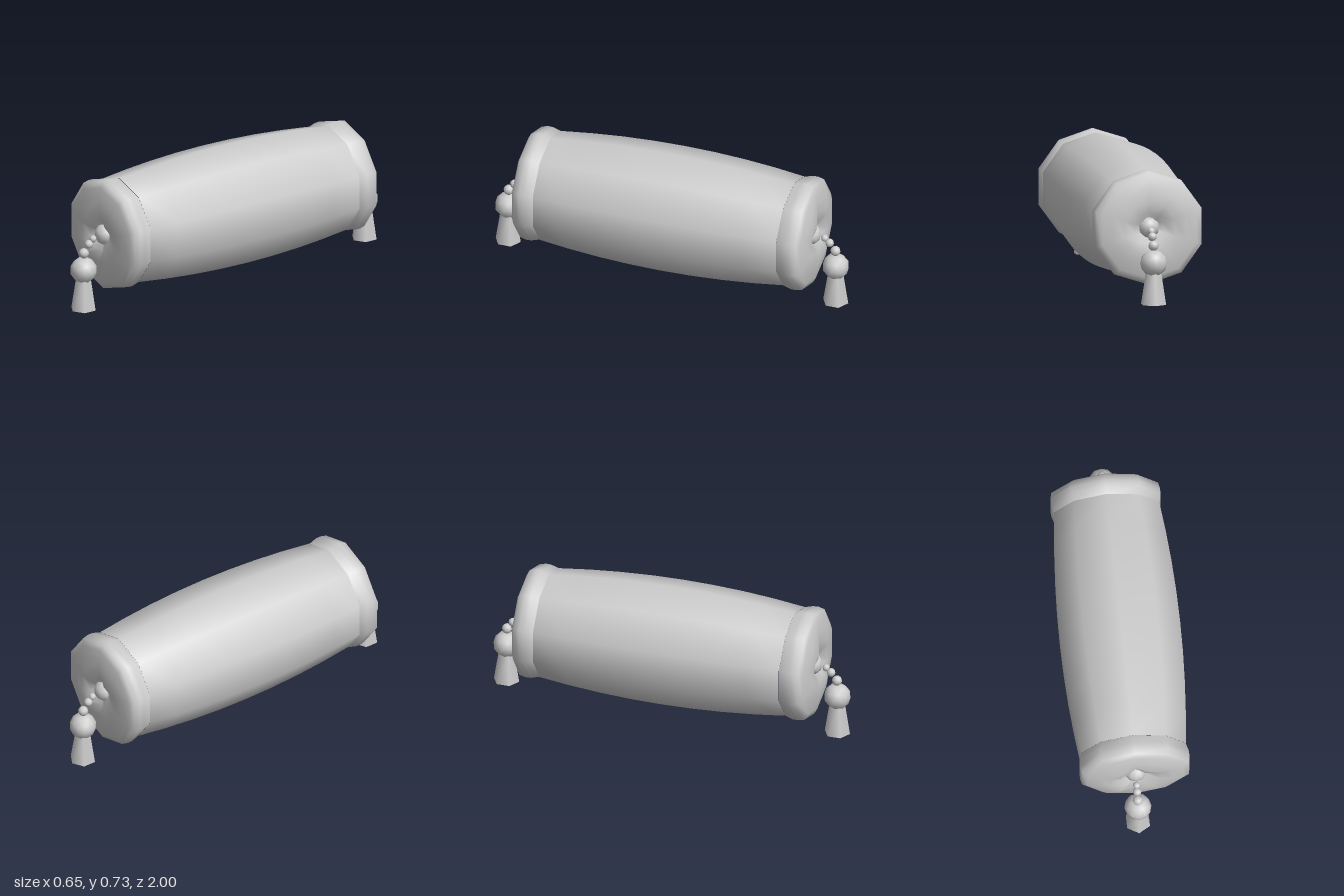
import * as THREE from 'three';
import { mergeVertices } from 'three/addons/utils/BufferGeometryUtils.js';

const SIDES = 10;
const CENTRE_Y = 0.393;

// Skin of ten-sided rings along +z; each ring is [radius, z, pucker]
function loft(rings) {
  const pos = [], idx = [];
  rings.forEach(([r, z, pucker = 0]) => {
    for (let j = 0; j < SIDES; j++) {
      const a = (j / SIDES) * Math.PI * 2;
      const lobe = Math.sin(2 * a) ** 2 - 0.25 * Math.sin(a);
      pos.push(r * Math.sin(a), r * Math.cos(a), z + pucker * lobe);
    }
  });
  for (let i = 0; i < rings.length - 1; i++) {
    for (let j = 0; j < SIDES; j++) {
      const k = (j + 1) % SIDES;
      const a = i * SIDES + j, b = i * SIDES + k, c = a + SIDES, d = b + SIDES;
      idx.push(a, c, b, b, c, d);
    }
  }
  const geo = new THREE.BufferGeometry();
  geo.setAttribute('position', new THREE.Float32BufferAttribute(pos, 3));
  geo.setIndex(idx);
  geo.computeVertexNormals();
  return geo;
}

// Low-poly ball with smooth normals
function ball(r) {
  const geo = new THREE.IcosahedronGeometry(r, 1);
  geo.deleteAttribute('normal');
  geo.deleteAttribute('uv');
  const smooth = mergeVertices(geo, 1e-4);
  smooth.computeVertexNormals();
  return smooth;
}

export function createModel() {
  const model = new THREE.Group();
  model.name = 'bolsterPillow';
  const fabric = new THREE.MeshStandardMaterial({ color: 0xcccccc });
  fabric.name = 'lightGreyFabric';

  const add = (parent, name, geo, y = 0, z = 0) => {
    const mesh = new THREE.Mesh(geo, fabric);
    mesh.name = name;
    mesh.position.set(0, y, z);
    parent.add(mesh);
    return mesh;
  };

  // Barrel-shaped body
  const bodyRings = [];
  for (let i = -4; i <= 4; i++) {
    const t = i / 4;
    bodyRings.push([0.34 - 0.043 * t * t, 0.69 * t]);
  }
  add(model, 'body', loft(bodyRings), CENTRE_Y);

  for (const side of ['front', 'back']) {
    const end = new THREE.Group();
    end.name = side + 'End';
    if (side === 'back') end.rotation.y = Math.PI;
    model.add(end);

    // Puffed rim and gathered end face
    add(end, 'gatheredCap', loft([
      [0.296, 0.69], [0.309, 0.735], [0.31, 0.765], [0.302, 0.8],
      [0.27, 0.816], [0.21, 0.823, 0.01], [0.145, 0.825, 0.026],
      [0.085, 0.806, 0.03], [0.04, 0.79, 0.01], [0.0005, 0.785],
    ]), CENTRE_Y);

    // Button at the gather
    add(end, 'button', ball(0.06), 0.396, 0.784);

    // String of beads curving down to the tassel
    [[0.02, 0.385, 0.866], [0.024, 0.36, 0.894], [0.028, 0.316, 0.927]].forEach(([r, y, z]) =>
      add(end, 'bead', new THREE.SphereGeometry(r, 8, 6), y, z));

    // Tassel knob and skirt
    add(end, 'tasselKnob', ball(0.073), 0.222, 0.929);
    add(end, 'tasselSkirt', new THREE.CylinderGeometry(0.044, 0.071, 0.17, 6), 0.085, 0.929);
  }
  return model;
}
